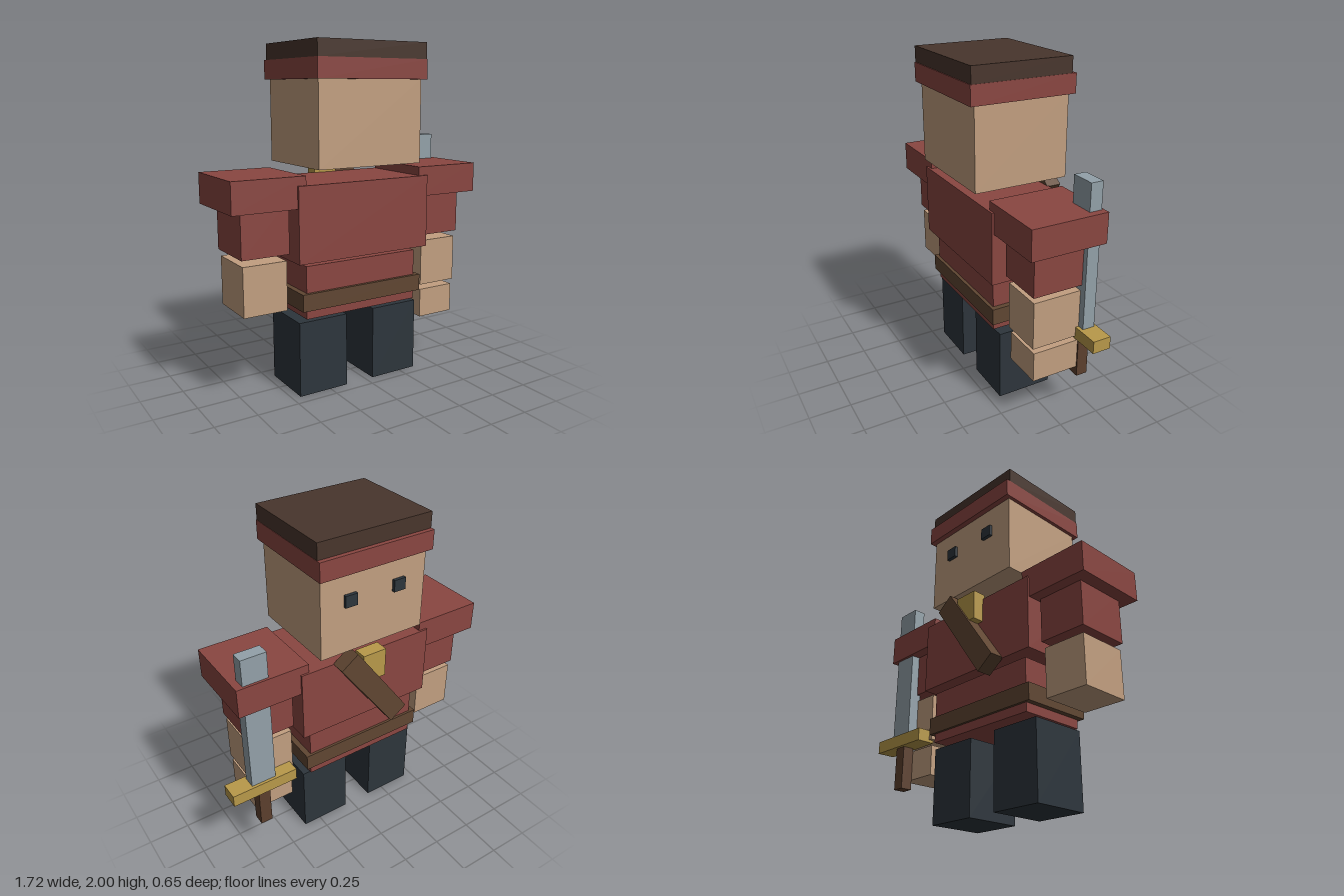
import * as THREE from 'three';

const material = (name, color) => {
  const m = new THREE.MeshStandardMaterial({ color });
  m.name = name;
  return m;
};

export function createModel() {
  const model = new THREE.Group();
  model.name = 'swordsman';

  const red = material('red cloth', 0x8a4641);
  const skin = material('skin', 0xc29f80);
  const navy = material('dark trousers', 0x2d353c);
  const hair = material('dark brown hair', 0x48352c);
  const leather = material('brown leather', 0x604632);
  const wood = material('brown grip', 0x5c3f2d);
  const steel = material('steel', 0x93a1a9);
  const gold = material('gold', 0xb8994a);

  // Box given by its [min, max] range on each axis
  const block = (name, mat, [x0, x1], [y0, y1], [z0, z1]) => {
    const mesh = new THREE.Mesh(new THREE.BoxGeometry(x1 - x0, y1 - y0, z1 - z0), mat);
    mesh.position.set((x0 + x1) / 2, (y0 + y1) / 2, (z0 + z1) / 2);
    mesh.name = name;
    model.add(mesh);
    return mesh;
  };

  // The body is symmetric about this x, as the sword sticks out on one side
  const cx = -0.045;
  const pair = (name, mat, [near, far], y, z) => {
    block('left' + name, mat, [cx + near, cx + far], y, z);
    block('right' + name, mat, [cx - far, cx - near], y, z);
  };

  // Legs, arms and the single gripping hand
  pair('Leg', navy, [0.093, 0.405], [0, 0.442], [-0.165, 0.18]);
  pair('Shoulder', red, [0.382, 0.815], [1.107, 1.285], [-0.228, 0.235]);
  pair('UpperArm', red, [0.455, 0.74], [0.848, 1.15], [-0.16, 0.168]);
  pair('Forearm', skin, [0.468, 0.73], [0.525, 0.81], [-0.15, 0.158]);
  block('leftHand', skin, [0.43, 0.68], [0.31, 0.49], [-0.14, 0.148]);

  // Torso
  block('lowerTorso', red, [-0.417, 0.327], [0.468, 0.775], [-0.2, 0.207]);
  block('belt', leather, [-0.45, 0.36], [0.52, 0.62], [-0.215, 0.227]);
  block('chest', red, [-0.48, 0.39], [0.8, 1.233], [-0.24, 0.248]);

  // Diagonal strap and the gold pin beside it
  const strap = block('chestStrap', leather, [-0.112, 0.017], [0.71, 1.326], [-0.322, -0.232]);
  strap.rotation.z = -0.624;
  block('goldPin', gold, [-0.12, 0.03], [1.085, 1.263], [-0.308, -0.225]);

  // Head
  block('head', skin, [-0.382, 0.292], [1.318, 1.8], [-0.28, 0.295]);
  block('headband', red, [-0.402, 0.312], [1.795, 1.907], [-0.313, 0.325]);
  block('hair', hair, [-0.4, 0.31], [1.907, 2], [-0.287, 0.32]);
  pair('Eye', navy, [0.12, 0.194], [1.6, 1.67], [-0.3, -0.275]);

  // Sword
  block('swordBlade', steel, [0.575, 0.727], [0.58, 1.445], [-0.213, -0.138]);
  block('swordGuard', gold, [0.445, 0.855], [0.508, 0.583], [-0.23, -0.118]);
  block('swordGrip', wood, [0.615, 0.688], [0.25, 0.51], [-0.21, -0.14]);

  return model;
}
